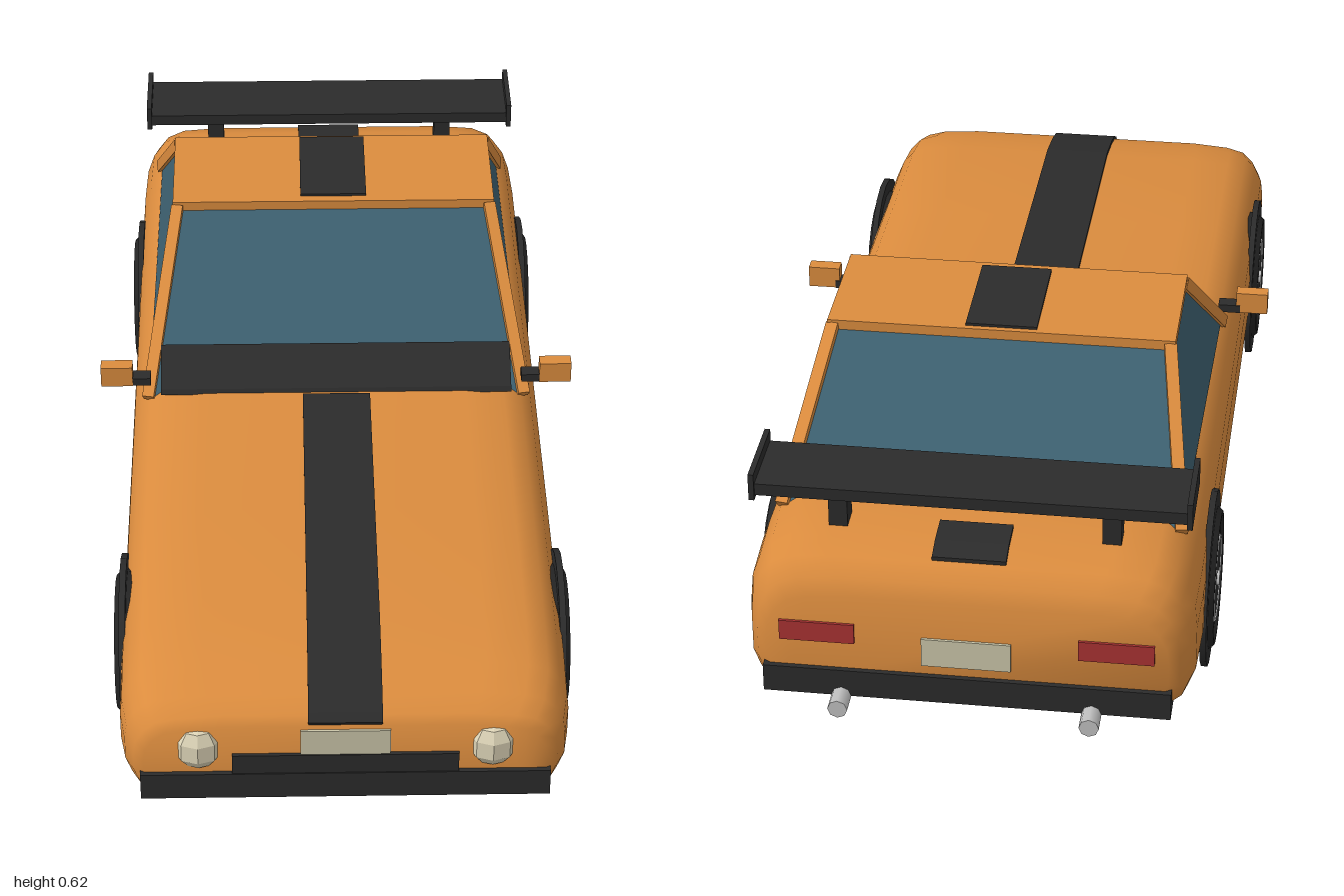
import * as THREE from 'three';
import { toCreasedNormals } from 'three/addons/utils/BufferGeometryUtils.js';
import { ConvexGeometry } from 'three/addons/geometries/ConvexGeometry.js';

const mat = (name, color) => Object.assign(new THREE.MeshStandardMaterial({ color }), { name });

// Body stations from nose to tail: z, half width, bottom, top
const STATIONS = [
  [0.977, 0.36, 0.13, 0.285], [0.965, 0.378, 0.122, 0.3], [0.93, 0.394, 0.118, 0.318],
  [0.87, 0.404, 0.117, 0.337], [0.77, 0.405, 0.117, 0.357], [0.45, 0.405, 0.117, 0.366],
  [0.1, 0.405, 0.117, 0.376], [-0.35, 0.405, 0.117, 0.393], [-0.75, 0.405, 0.117, 0.41],
  [-0.86, 0.402, 0.118, 0.405], [-0.905, 0.393, 0.122, 0.392], [-0.933, 0.378, 0.128, 0.365],
  [-0.947, 0.36, 0.14, 0.335],
];

// Closed cross-section, counterclockwise seen from the front
function section([z, w, b, t]) {
  const h = t - b;
  const half = [
    [w - 0.04, b], [w - 0.012, b + 0.022], [w, b + 0.055], [w, b + h * 0.5], [w - 0.004, b + h * 0.66],
    [w - 0.018, b + h * 0.8], [w - 0.04, b + h * 0.91], [w - 0.075, t - 0.008], [w - 0.15, t - 0.002],
  ];
  const left = half.map(([x, y]) => [-x, y]).reverse();
  return [...half, ...left].map(([x, y]) => [x, y, z]);
}

function loftBody() {
  const rings = STATIONS.map(section);
  const n = rings[0].length;
  const position = rings.flat(2);
  const index = [];
  for (let i = 0; i < rings.length - 1; i++) {
    for (let j = 0; j < n; j++) {
      const a = i * n + j, b = i * n + (j + 1) % n;
      index.push(a, a + n, b, b, a + n, b + n);
    }
  }
  // Flat nose and tail
  const last = (rings.length - 1) * n;
  for (let j = 1; j < n - 1; j++) {
    index.push(0, j, j + 1, last, last + j + 1, last + j);
  }
  const g = new THREE.BufferGeometry();
  g.setAttribute('position', new THREE.Float32BufferAttribute(position, 3));
  g.setIndex(index);
  return toCreasedNormals(g, 0.75);
}

// Side profile of [z, y] points, extruded across the car
function acrossProfile(points, width) {
  const shape = new THREE.Shape(points.map(([z, y]) => new THREE.Vector2(z, y)));
  const g = new THREE.ExtrudeGeometry(shape, { depth: width, bevelEnabled: false });
  return g.rotateY(-Math.PI / 2).translate(width / 2, 0, 0);
}

export function createModel() {
  const car = new THREE.Group();
  car.name = 'sportsCar';
  const paint = mat('orange paint', 0xdb8c3e);
  const black = mat('black trim', 0x2b2b2b);
  const rubber = mat('tyre rubber', 0x242424);
  const glass = mat('tinted glass', 0x3d6070);
  const chrome = mat('chrome', 0xc0c0c0);
  const cream = mat('cream lamp', 0xdcd3b6);
  const plateColor = mat('number plate', 0xcac5a8);
  const red = mat('red lamp', 0xa83232);

  const add = (name, geometry, material, parent = car) => {
    const m = new THREE.Mesh(geometry, material);
    m.name = name;
    parent.add(m);
    return m;
  };
  // Box from its extents on each axis
  const box = (name, material, [x0, x1], [y0, y1], [z0, z1]) => add(name,
    new THREE.BoxGeometry(Math.abs(x1 - x0), y1 - y0, Math.abs(z1 - z0))
      .translate((x0 + x1) / 2, (y0 + y1) / 2, (z0 + z1) / 2), material);
  const beam = (name, a, b, w, material) => {
    const p = new THREE.Vector3(...a), q = new THREE.Vector3(...b);
    const m = add(name, new THREE.BoxGeometry(w, w, p.distanceTo(q)), material);
    m.position.copy(p).add(q).multiplyScalar(0.5);
    m.lookAt(q);
  };

  add('body', loftBody(), paint);

  // Stripes over bonnet, roof and boot
  const hood = [[0.979, 0.292], ...STATIONS.slice(1, 7).map(([z, , , t]) => [z, t + 0.005])];
  const under = hood.map(([z, y]) => [z - 0.004, y - 0.009]).reverse();
  add('bonnetStripe', acrossProfile([...hood, ...under], 0.132), black);
  box('roofStripe', black, [-0.066, 0.066], [0.62, 0.627], [-0.245, -0.468]);
  add('bootStripe', acrossProfile([[-0.8, 0.412], [-0.86, 0.41], [-0.9, 0.399],
    [-0.9, 0.39], [-0.86, 0.4], [-0.8, 0.402]], 0.132), black);

  // Cabin: glass block, roof and corner pillars
  const corners = [];
  for (const s of [1, -1]) {
    const [frontLow, frontTop, rearTop, rearLow] = [
      [0.37 * s, 0.355, 0.073], [0.312 * s, 0.608, -0.232],
      [0.312 * s, 0.608, -0.472], [0.362 * s, 0.388, -0.75]];
    corners.push(...[frontLow, frontTop, rearTop, rearLow].map((c) => new THREE.Vector3(...c)));
    beam('frontPillar', frontLow, frontTop, 0.023, paint);
    beam('rearPillar', rearLow, rearTop, 0.023, paint);
  }
  add('windows', new ConvexGeometry(corners), glass);
  box('roof', paint, [-0.322, 0.322], [0.603, 0.622], [-0.226, -0.479]);
  add('cowl', acrossProfile([[0.088, 0.372], [0.083, 0.382], [0, 0.432], [-0.02, 0.41], [0.05, 0.355]], 0.69), black);

  // Bumpers and number plates
  box('frontBumper', black, [-0.366, 0.366], [0.125, 0.18], [0.935, 0.986]);
  box('frontBumperCentre', black, [-0.202, 0.202], [0.18, 0.221], [0.96, 0.984]);
  box('rearBumper', black, [-0.366, 0.366], [0.126, 0.18], [-0.9, -0.957]);
  box('frontPlate', plateColor, [-0.08, 0.08], [0.221, 0.275], [0.975, 0.982]);
  box('rearPlate', plateColor, [-0.08, 0.08], [0.2, 0.257], [-0.945, -0.952]);

  // Wing across the tail
  box('wing', black, [-0.385, 0.385], [0.495, 0.518], [-0.743, -0.888]);

  // Tyre profile as [radius, offset from the tyre's middle]
  const tyreProfile = [[0, -0.047], [0.122, -0.047], [0.14, -0.03], [0.14, 0.03], [0.125, 0.047],
    [0.118, 0.047], [0.112, 0.041], [0, 0.041]].map(([r, h]) => new THREE.Vector2(r, h));
  const tyre = toCreasedNormals(new THREE.LatheGeometry(tyreProfile, 20), 0.5).rotateZ(-Math.PI / 2);
  const disc = new THREE.CylinderGeometry(0.166, 0.166, 0.012, 20).rotateZ(-Math.PI / 2);
  const rim = new THREE.CylinderGeometry(0.078, 0.078, 0.006, 20).rotateZ(-Math.PI / 2);
  const ring = new THREE.TorusGeometry(0.079, 0.004, 6, 28).rotateY(Math.PI / 2);
  const hub = new THREE.CylinderGeometry(0.014, 0.014, 0.012, 8).rotateZ(-Math.PI / 2);
  const lampProfile = [[0, -0.044], [0.026, -0.04], [0.042, -0.02], [0.042, 0.015], [0.028, 0.037],
    [0.014, 0.042], [0.012, 0.05], [0, 0.052]].map(([r, h]) => new THREE.Vector2(r, h));
  const lamp = toCreasedNormals(new THREE.LatheGeometry(lampProfile, 8), 0.1).scale(1, 1, 0.8);
  const pipe = new THREE.CylinderGeometry(0.018, 0.018, 0.09, 8).rotateX(Math.PI / 2);

  for (const s of [1, -1]) {
    // Wheels with arch discs
    for (const [name, z] of [['frontWheel', 0.6], ['rearWheel', -0.565]]) {
      const wheel = new THREE.Group();
      wheel.name = name;
      wheel.position.set(0.373 * s, 0.17, z);
      wheel.rotation.y = s > 0 ? 0 : Math.PI;
      add('tyre', tyre, rubber, wheel);
      add('archDisc', disc, black, wheel).position.x = 0.031;
      add('rim', rim, black, wheel).position.x = 0.041;
      add('rimRing', ring, chrome, wheel).position.x = 0.043;
      add('hub', hub, chrome, wheel).position.x = 0.043;
      car.add(wheel);
    }
    // Lamps and exhausts
    add('headlight', lamp, cream).position.set(0.262 * s, 0.234, 0.963);
    box('tailLight', red, [0.2 * s, 0.335 * s], [0.236, 0.276], [-0.944, -0.952]);
    add('exhaust', pipe, chrome).position.set(0.225 * s, 0.126, -0.955);
    // Door mirrors
    box('mirrorStem', black, [0.365 * s, 0.408 * s], [0.389, 0.405], [0.05, 0.078]);
    box('mirror', paint, [0.4 * s, 0.462 * s], [0.389, 0.432], [0.052, 0.08]);
    // Wing posts and end plates
    box('wingPost', black, [0.228 * s, 0.262 * s], [0.395, 0.5], [-0.785, -0.83]);
    box('wingEndPlate', black, [0.381 * s, 0.391 * s], [0.487, 0.539], [-0.738, -0.893]);
  }
  return car;
}
